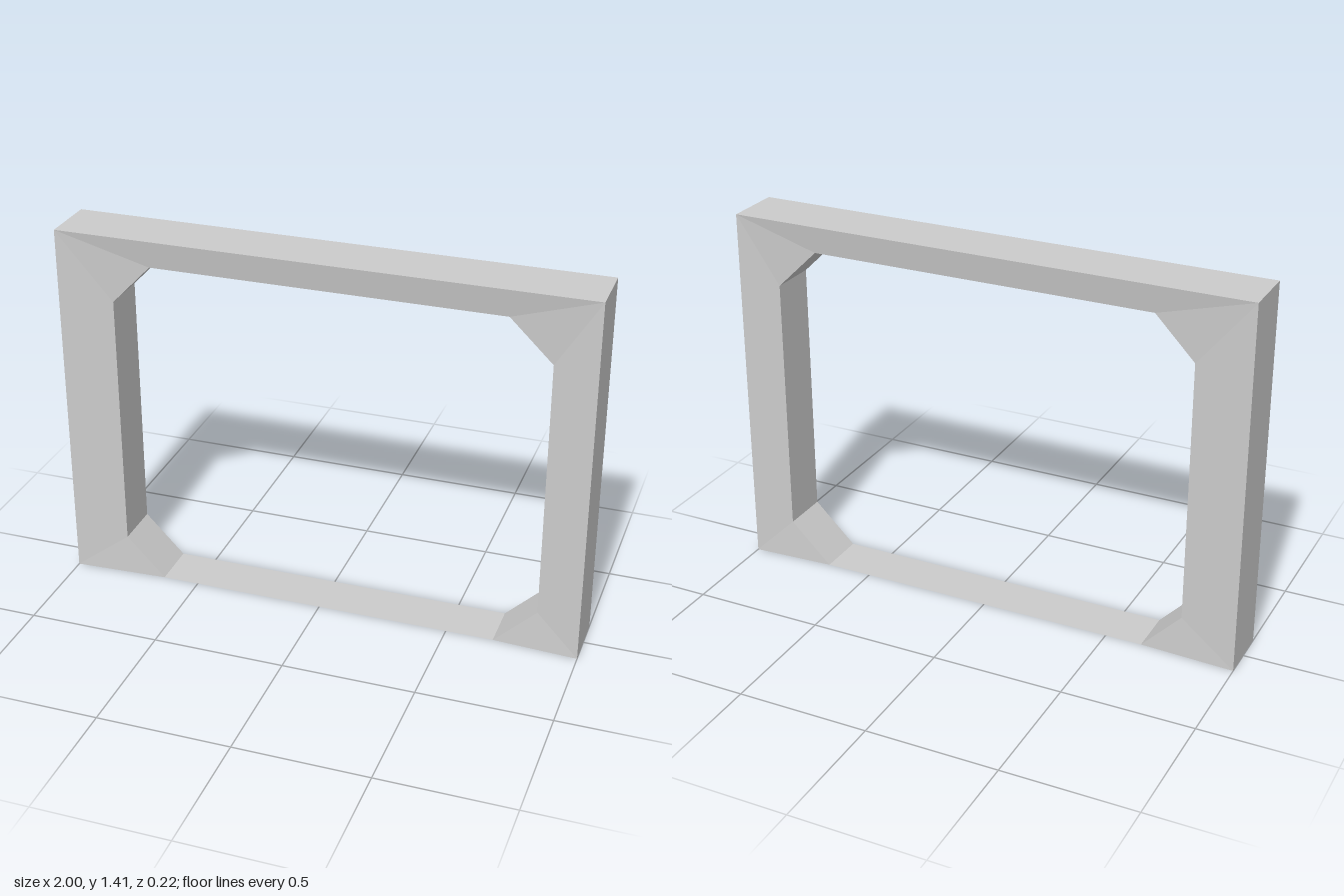
import * as THREE from 'three';

const OUTER_Z = 0.111; // half depth along the outside edge
const INNER_Z = 0.093; // half depth around the opening, so the faces slope inward

const material = new THREE.MeshStandardMaterial({
  color: 0xcccccc, flatShading: true, side: THREE.DoubleSide,
});

// Outer corners and the eight-sided opening, both clockwise from bottom right-hand post
const outer = [[-1, 0], [-1, 1.41], [1, 1.41], [1, 0]];
const inner = [
  [-0.64, 0], [-0.79, 0.155],
  [-0.79, 1.15], [-0.64, 1.305],
  [0.68, 1.305], [0.84, 1.15],
  [0.84, 0.155], [0.68, 0],
];

function meshFromFaces(name, faces) {
  const positions = [];
  for (const f of faces) {
    for (let i = 1; i < f.length - 1; i++) positions.push(...f[0], ...f[i], ...f[i + 1]);
  }
  const geometry = new THREE.BufferGeometry();
  geometry.setAttribute('position', new THREE.Float32BufferAttribute(positions, 3));
  geometry.computeVertexNormals();
  const mesh = new THREE.Mesh(geometry, material);
  mesh.name = name;
  return mesh;
}

const at = (p, z) => [p[0], p[1], z];

// Wall facing into the opening
const innerWall = (a, b) =>
  [at(a, INNER_Z), at(a, -INNER_Z), at(b, -INNER_Z), at(b, INNER_Z)];

// Wall on the outside of the frame
const outerWall = (a, b) =>
  [at(a, -OUTER_Z), at(a, OUTER_Z), at(b, OUTER_Z), at(b, -OUTER_Z)];

// Straight member: sloping front and back, outer and inner wall
function bar(name, oA, oB, iA, iB) {
  return meshFromFaces(name, [
    [at(oA, OUTER_Z), at(iA, INNER_Z), at(iB, INNER_Z), at(oB, OUTER_Z)],
    [at(oA, -OUTER_Z), at(oB, -OUTER_Z), at(iB, -INNER_Z), at(iA, -INNER_Z)],
    outerWall(oA, oB),
    innerWall(iA, iB),
  ]);
}

// Chamfered corner: triangular front and back, diagonal inner wall
function corner(name, o, iA, iB) {
  return meshFromFaces(name, [
    [at(o, OUTER_Z), at(iA, INNER_Z), at(iB, INNER_Z)],
    [at(o, -OUTER_Z), at(iB, -INNER_Z), at(iA, -INNER_Z)],
    innerWall(iA, iB),
  ]);
}

export function createModel() {
  const frame = new THREE.Group();
  frame.name = 'frame';

  // Two posts and the top rail
  ['rightPost', 'topRail', 'leftPost'].forEach((name, i) => {
    frame.add(bar(name, outer[i], outer[i + 1], inner[2 * i + 1], inner[2 * i + 2]));
  });

  // Four corner braces, open underneath at the bottom
  ['lowerRightBrace', 'upperRightBrace', 'upperLeftBrace', 'lowerLeftBrace'].forEach((name, i) => {
    frame.add(corner(name, outer[i], inner[2 * i], inner[2 * i + 1]));
  });

  // Thin sill between the lower braces
  frame.add(meshFromFaces('sill', [innerWall(inner[7], inner[0])]));

  return frame;
}
